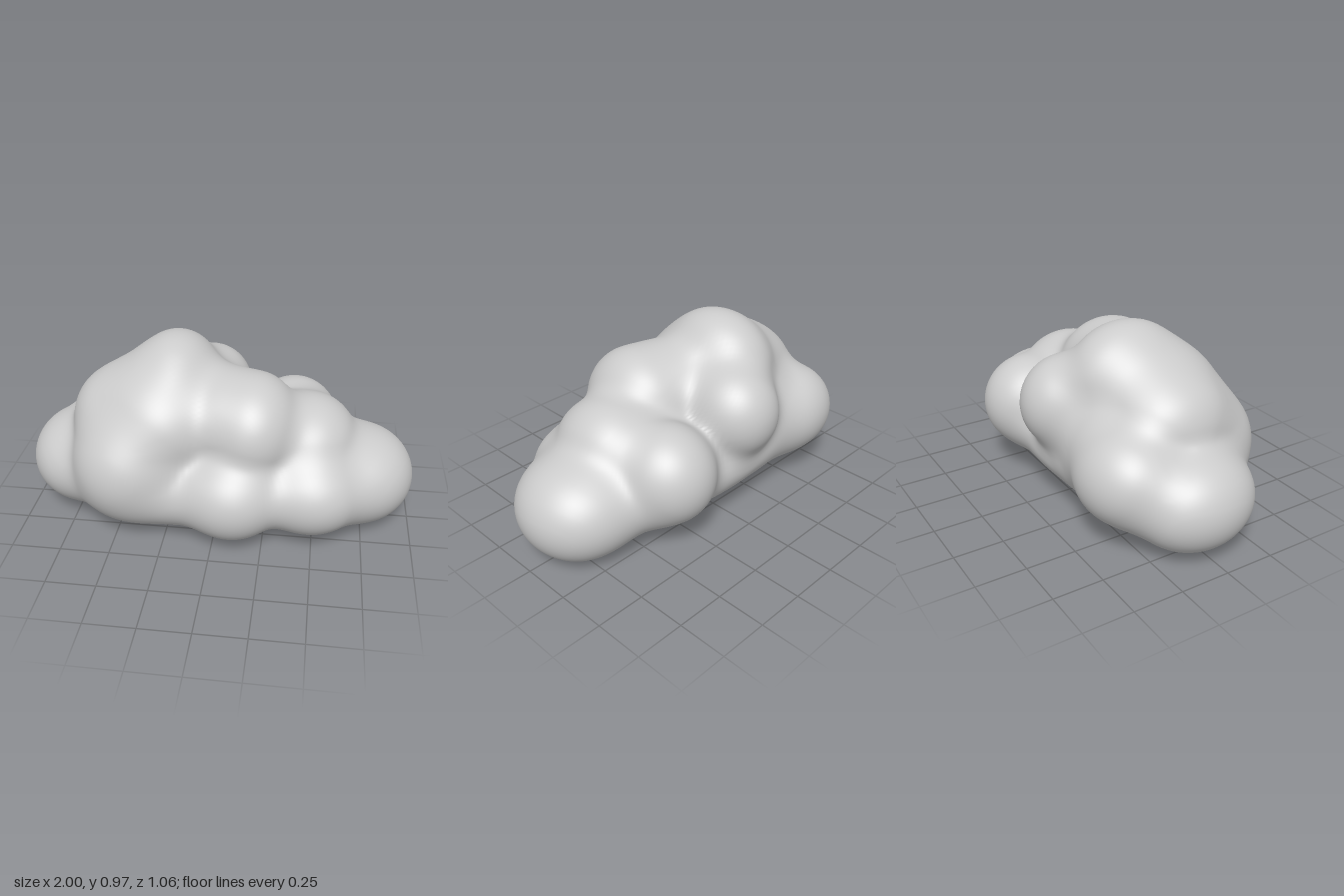
import * as THREE from 'three';
import { mergeVertices } from 'three/addons/utils/BufferGeometryUtils.js';

// Puffs of the cloud: centre, then radii
const PUFFS = [
  [[0.0, 0.29, 0.0], [0.87, 0.25, 0.43]],       // core
  [[-0.50, 0.26, 0.0], [0.38, 0.22, 0.35]],     // flat underside
  [[0.48, 0.25, 0.0], [0.39, 0.22, 0.33]],
  [[-0.23, 0.24, 0.05], [0.38, 0.23, 0.38]],
  [[-0.23, 0.69, -0.05], [0.24, 0.28, 0.31]],   // peak
  [[-0.37, 0.62, 0.0], [0.22, 0.25, 0.28]],     // ridges either side of the peak
  [[0.0, 0.59, 0.05], [0.20, 0.25, 0.28]],
  [[-0.50, 0.54, 0.02], [0.25, 0.26, 0.30]],    // upper shoulder
  [[-0.28, 0.56, 0.12], [0.30, 0.28, 0.29]],    // slope in front of the peak
  [[-0.43, 0.37, 0.21], [0.29, 0.30, 0.29]],    // big front puff
  [[-0.745, 0.27, -0.02], [0.255, 0.24, 0.30]], // low end, -x
  [[-0.55, 0.37, -0.25], [0.28, 0.24, 0.245]],  // back puffs
  [[-0.30, 0.42, -0.20], [0.26, 0.26, 0.225]],
  [[-0.08, 0.56, -0.29], [0.22, 0.24, 0.24]],
  [[0.37, 0.39, -0.27], [0.24, 0.25, 0.255]],
  [[0.17, 0.56, 0.11], [0.25, 0.28, 0.29]],     // middle step
  [[0.45, 0.43, 0.02], [0.26, 0.265, 0.29]],    // lower step
  [[0.09, 0.27, 0.28], [0.26, 0.23, 0.245]],    // front puffs
  [[0.48, 0.27, 0.22], [0.25, 0.21, 0.225]],
  [[0.72, 0.255, -0.02], [0.28, 0.25, 0.30]],   // low end, +x
];
const BLEND = 0.085;

// Approximate distance to one ellipsoid
function puffDistance(p, [c, r]) {
  const x = (p.x - c[0]) / r[0], y = (p.y - c[1]) / r[1], z = (p.z - c[2]) / r[2];
  const k = Math.hypot(x, y, z);
  const g = Math.hypot(x / r[0], y / r[1], z / r[2]);
  return g < 1e-6 ? -Math.min(...r) : k * (k - 1) / g;
}

// Puffs melted together with soft creases
function cloudDistance(p) {
  let d = puffDistance(p, PUFFS[0]);
  for (let i = 1; i < PUFFS.length; i++) {
    const e = puffDistance(p, PUFFS[i]);
    const h = Math.max(BLEND - Math.abs(d - e), 0) / BLEND;
    d = Math.min(d, e) - h * h * BLEND / 4;
  }
  return d;
}

// Shrink-wrap a fine ball onto the puffs, aiming at a spine along x
function cloudGeometry() {
  let geo = new THREE.IcosahedronGeometry(1, 40);
  geo.deleteAttribute('normal');
  geo.deleteAttribute('uv');
  geo = mergeVertices(geo, 1e-5);
  const pos = geo.attributes.position;
  const v = new THREE.Vector3(), p = new THREE.Vector3();
  for (let i = 0; i < pos.count; i++) {
    v.fromBufferAttribute(pos, i).normalize();
    const at = (t) => p.set(v.x * (0.55 + t), 0.33 + v.y * t, v.z * t);
    let t = 0.9;
    for (let s = 0; s < 70; s++) {
      const d = cloudDistance(at(t));
      if (Math.abs(d) < 0.0005 || t < 0.05) break;
      t -= d * 0.7;
    }
    at(t);
    pos.setXYZ(i, p.x, p.y, p.z);
  }
  geo.computeVertexNormals();
  return geo;
}

export function createModel() {
  const group = new THREE.Group();
  group.name = 'cloud';
  const cloudGrey = new THREE.MeshStandardMaterial({ color: 0xcccccc });
  cloudGrey.name = 'cloud grey';
  const body = new THREE.Mesh(cloudGeometry(), cloudGrey);
  body.name = 'cloudBody';
  group.add(body);
  return group;
}
